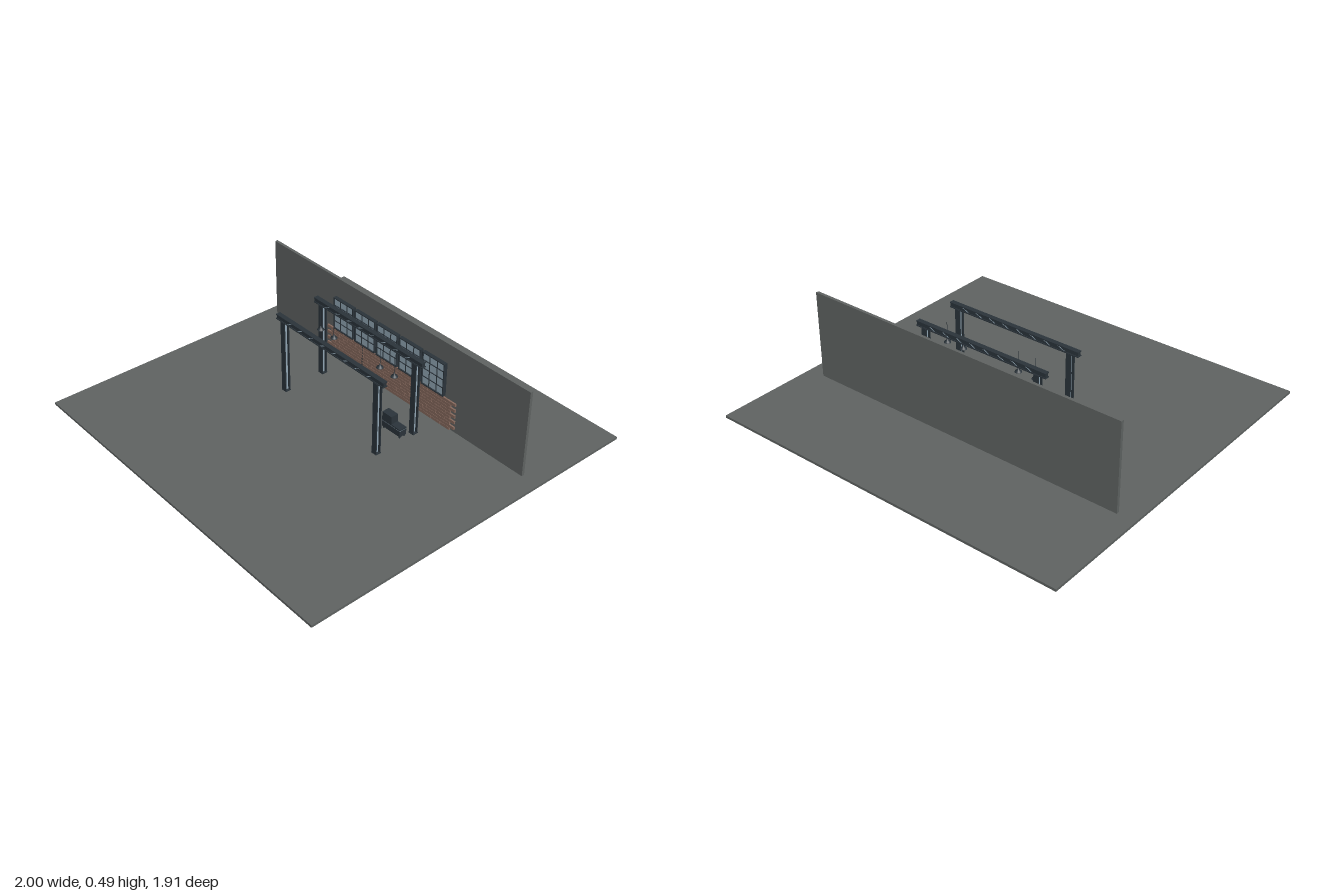
import * as THREE from 'three';

const mat = (name, color, extra = {}) => {
  const m = new THREE.MeshStandardMaterial({ color, ...extra });
  m.name = name;
  return m;
};

export function createModel() {
  const concrete = mat('concrete', 0x606463);
  const steel = mat('dark steel', 0x2b343b);
  const glass = mat('pale blue', 0x93a8b6);
  const brick = mat('brick', 0x876a5e);
  const shadeMat = mat('lamp shade', 0x2b343b, { side: THREE.DoubleSide });

  const root = new THREE.Group();
  root.name = 'loftRoom';

  const group = (name, parent = root) => {
    const g = new THREE.Group();
    g.name = name;
    parent.add(g);
    return g;
  };
  // box given by its limits on each axis
  const box = (parent, name, m, x0, x1, y0, y1, z0, z1) => {
    const mesh = new THREE.Mesh(new THREE.BoxGeometry(x1 - x0, y1 - y0, z1 - z0), m);
    mesh.position.set((x0 + x1) / 2, (y0 + y1) / 2, (z0 + z1) / 2);
    mesh.name = name;
    parent.add(mesh);
    return mesh;
  };

  const FLOOR = 0.013;
  box(root, 'floor', concrete, -1, 1, 0, FLOOR, -0.955, 0.955);
  box(root, 'backWall', concrete, -0.905, 0.905, FLOOR, 0.487, -0.402, -0.386);

  // brick panel with toothed ends
  const bricks = group('brickPanel');
  const rows = 10, rowH = 0.0171, pitch = 0.0625, joint = 0.0008;
  for (let r = 0; r < rows; r++) {
    const count = r % 2 ? 15 : 14;
    for (let i = 0; i < count; i++) {
      const x = (i - count / 2) * pitch, y = FLOOR + r * rowH;
      box(bricks, 'brick', brick, x + joint, x + pitch - joint, y + joint, y + rowH - joint, -0.386, -0.377);
    }
  }
  // dashed dark joint on the bricks
  for (let r = 1; r < rows; r++) {
    const y = FLOOR + r * rowH;
    box(bricks, 'jointMark', steel, -0.197, -0.192, y + 0.002, y + 0.012, -0.378, -0.3755);
  }

  // five gridded windows
  for (let i = -2; i <= 2; i++) {
    const w = group('window');
    const cx = i * 0.1625, hw = 0.075, y0 = 0.2, y1 = 0.385, f = 0.005;
    const zb = -0.379, zf = -0.358;
    box(w, 'pane', glass, cx - hw + f, cx + hw - f, y0 + f, y1 - f, -0.37, -0.365);
    for (const s of [-1, 1]) {
      const x = cx + s * (hw - f / 2);
      box(w, 'frameSide', steel, x - f / 2, x + f / 2, y0, y1, zb, zf);
    }
    box(w, 'frameBottom', steel, cx - hw, cx + hw, y0, y0 + f, zb, zf);
    box(w, 'frameTop', steel, cx - hw, cx + hw, y1 - f, y1, zb, zf);
    for (const s of [-1, 1]) {
      const x = cx + s * hw / 3;
      box(w, 'verticalBar', steel, x - 0.0015, x + 0.0015, y0, y1, -0.373, -0.361);
    }
    for (let k = 1; k <= 3; k++) {
      const y = y0 + (y1 - y0) * k / 4;
      box(w, 'crossBar', steel, cx - hw, cx + hw, y - 0.0015, y + 0.0015, -0.373, -0.361);
    }
  }

  // two steel portal frames
  for (const z of [0.007, -0.234]) {
    const frame = group('steelFrame');
    for (const s of [-1, 1]) {
      const post = group('post', frame), x = s * 0.338;
      for (const d of [-1, 1]) {
        const fz = z + d * 0.0125;
        box(post, 'flange', steel, x - 0.015, x + 0.015, FLOOR, 0.418, fz - 0.0025, fz + 0.0025);
      }
      box(post, 'web', glass, x - 0.003, x + 0.003, FLOOR, 0.418, z - 0.01, z + 0.01);
      box(post, 'basePlate', steel, x - 0.017, x + 0.017, FLOOR, FLOOR + 0.004, z - 0.016, z + 0.016);
    }
    const beam = group('beam', frame);
    box(beam, 'bottomFlange', steel, -0.39, 0.388, 0.416, 0.421, z - 0.013, z + 0.013);
    box(beam, 'topFlange', steel, -0.39, 0.388, 0.439, 0.444, z - 0.013, z + 0.013);
    box(beam, 'web', steel, -0.388, 0.386, 0.421, 0.439, z - 0.009, z + 0.009);
    // slanted pale slivers on both faces of the beam
    const sliver = new THREE.Shape();
    sliver.moveTo(-0.022, -0.008);
    sliver.lineTo(-0.014, -0.008);
    sliver.lineTo(0.022, 0.008);
    sliver.lineTo(0.014, 0.008);
    const geo = new THREE.ExtrudeGeometry(sliver, { depth: 0.001, bevelEnabled: false });
    for (let i = 0; i < 8; i++) for (const fz of [0.009, -0.01]) {
      const m = new THREE.Mesh(geo, glass);
      m.position.set(-0.29 + i * 0.083, 0.43, z + fz);
      m.name = 'beamSliver';
      beam.add(m);
    }
  }

  // hanging lamps
  for (const x of [-0.27, -0.17, 0.165, 0.265]) {
    const lamp = group('pendantLamp');
    lamp.position.set(x, 0, -0.165);
    const profile = [[0.018, 0.334], [0.016, 0.339], [0.005, 0.347], [0.003, 0.356], [0, 0.357]]
      .map(([r, y]) => new THREE.Vector2(r, y));
    const shade = new THREE.Mesh(new THREE.LatheGeometry(profile, 20), shadeMat);
    shade.name = 'shade';
    const cord = new THREE.Mesh(new THREE.CylinderGeometry(0.0012, 0.0012, 0.088, 6), steel);
    cord.position.y = 0.4;
    cord.name = 'cord';
    lamp.add(shade, cord);
  }

  // low cabinet with a raised box
  const cab = group('cabinet');
  const zb = -0.19, zf = -0.147;
  box(cab, 'base', steel, 0.21, 0.335, 0.024, 0.056, zb, zf);
  box(cab, 'paleShelf', glass, 0.212, 0.333, 0.056, 0.06, zb + 0.002, zf - 0.002);
  box(cab, 'top', steel, 0.21, 0.335, 0.06, 0.067, zb, zf);
  box(cab, 'raisedBox', steel, 0.21, 0.275, 0.067, 0.11, zb, zf);
  for (const x of [0.214, 0.325]) for (const z of [zb + 0.003, zf - 0.009])
    box(cab, 'foot', steel, x, x + 0.006, FLOOR, 0.024, z, z + 0.006);

  return root;
}
